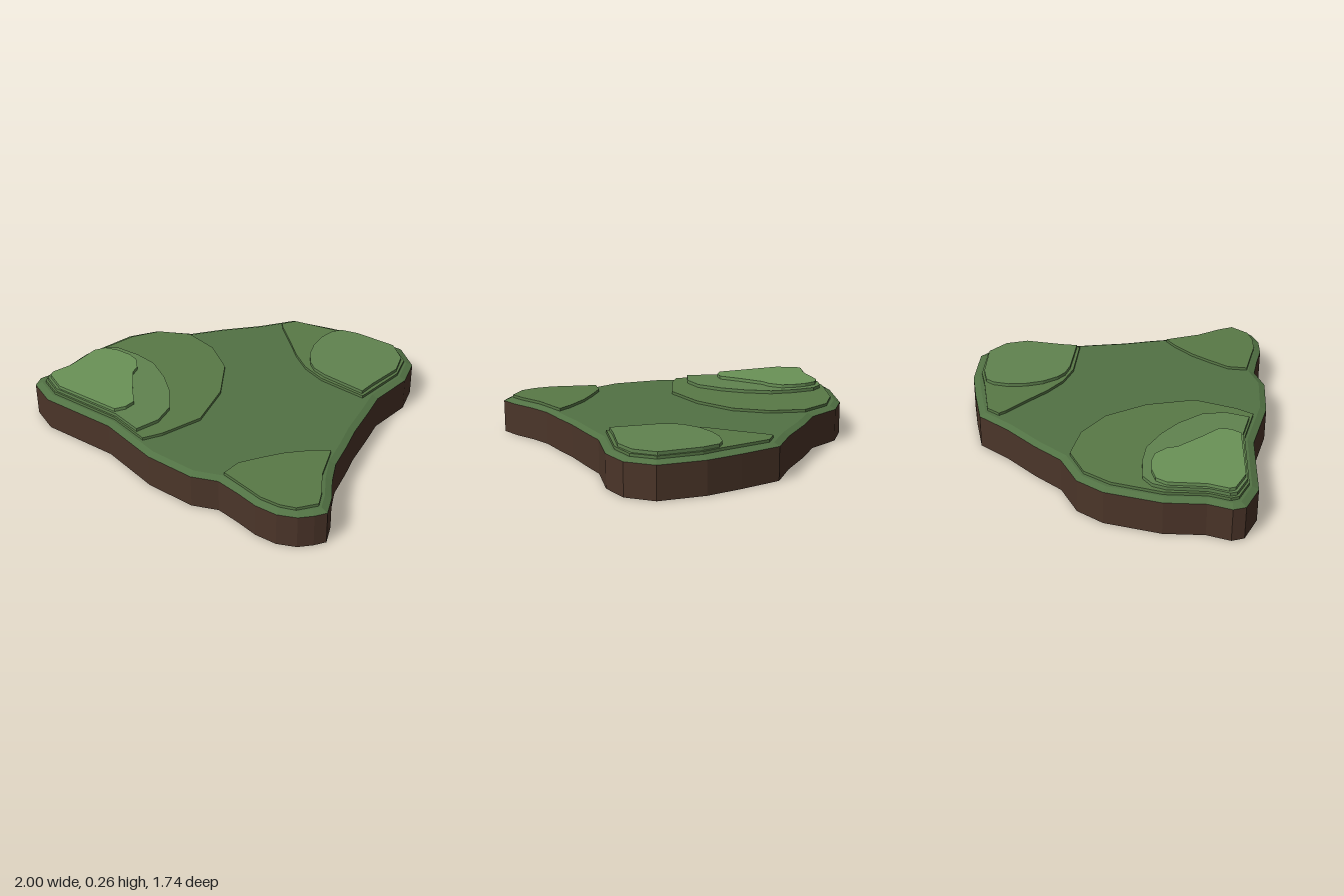
import * as THREE from 'three';

// All outlines are [x, z] pairs, clockwise seen from above.
const coast = [
  [0.4, -0.87], [0.55, -0.77], [0.61, -0.61], [0.6, -0.355], [0.64, -0.215], [0.69, -0.02], [0.74, 0.12],
  [0.79, 0.28], [0.86, 0.4], [0.945, 0.515], [1, 0.62], [0.965, 0.68], [0.91, 0.745], [0.815, 0.795],
  [0.69, 0.81], [0.565, 0.795], [0.42, 0.785], [0.285, 0.85], [0, 0.87], [-0.36, 0.815], [-0.805, 0.86],
  [-0.97, 0.805], [-1, 0.74], [-0.97, 0.61], [-0.99, 0.39], [-0.94, 0.08], [-0.855, -0.07], [-0.675, -0.185],
  [-0.565, -0.345], [-0.415, -0.53], [-0.3, -0.71], [-0.07, -0.79], [0.13, -0.85],
];
const westLow = [
  [-0.645, -0.14], [-0.435, -0.115], [-0.245, -0.01], [-0.09, 0.2], [0, 0.465], [-0.06, 0.7], [-0.11, 0.8],
  [-0.36, 0.765], [-0.795, 0.81], [-0.925, 0.765], [-0.945, 0.725], [-0.92, 0.61], [-0.94, 0.39],
  [-0.89, 0.11], [-0.81, -0.04],
];
const westMid = [
  [-0.7, 0.25], [-0.565, 0.255], [-0.415, 0.32], [-0.295, 0.4], [-0.18, 0.52], [-0.145, 0.645], [-0.175, 0.78],
  [-0.36, 0.755], [-0.79, 0.8], [-0.915, 0.755], [-0.93, 0.72], [-0.905, 0.61], [-0.92, 0.4],
  [-0.9, 0.325], [-0.84, 0.27],
];
const westTop = [
  [-0.715, 0.3], [-0.65, 0.31], [-0.585, 0.365], [-0.565, 0.42], [-0.445, 0.54], [-0.35, 0.625], [-0.35, 0.69],
  [-0.38, 0.745], [-0.775, 0.79], [-0.9, 0.745], [-0.915, 0.715], [-0.89, 0.6], [-0.905, 0.4],
  [-0.875, 0.34], [-0.8, 0.31],
];
const northLow = [
  [-0.3, -0.6], [-0.255, -0.675], [0.03, -0.76], [0.14, -0.8], [0.385, -0.82], [0.51, -0.74], [0.56, -0.6],
  [0.545, -0.285], [0.26, -0.275], [0.115, -0.31], [-0.01, -0.38], [-0.13, -0.47], [-0.27, -0.57],
];
const northTop = [
  [0.04, -0.75], [0.14, -0.785], [0.38, -0.81], [0.495, -0.73], [0.545, -0.61], [0.53, -0.4], [0.53, -0.3],
  [0.265, -0.295], [0.18, -0.31], [0.125, -0.345], [0.06, -0.42], [0.02, -0.51], [0, -0.61], [0.01, -0.7],
];
const eastLow = [
  [0.72, 0.23], [0.745, 0.28], [0.81, 0.42], [0.9, 0.54], [0.945, 0.62], [0.88, 0.72], [0.8, 0.755],
  [0.69, 0.77], [0.56, 0.755], [0.42, 0.74], [0.42, 0.63], [0.48, 0.52], [0.55, 0.405], [0.65, 0.29],
];

// Ground heights: wall top, meadow and three terrace steps
const WALL = 0.19, MEADOW = 0.206, STEP = [0.222, 0.241, 0.26];

const paint = (color) => new THREE.MeshStandardMaterial({ color, side: THREE.DoubleSide, flatShading: true });

// Shift every corner inward by d, mitred
function inset(loop, d) {
  const n = loop.length;
  return loop.map((p, i) => {
    const a = new THREE.Vector2(...loop[(i + n - 1) % n]);
    const b = new THREE.Vector2(...p);
    const c = new THREE.Vector2(...loop[(i + 1) % n]);
    const e = b.clone().sub(a).normalize(), f = c.sub(b).normalize();
    const m = new THREE.Vector2(-e.y - f.y, e.x + f.x).normalize();
    const k = d / (m.x * -e.y + m.y * e.x);
    return [p[0] + m.x * k, p[1] + m.y * k];
  });
}

// Ribbon of quads from a lower loop to an upper loop
function band(low, y0, high, y1) {
  const pos = [];
  low.forEach((_, i) => {
    const j = (i + 1) % low.length;
    const a = [low[i][0], y0, low[i][1]], b = [low[j][0], y0, low[j][1]];
    const c = [high[j][0], y1, high[j][1]], d = [high[i][0], y1, high[i][1]];
    pos.push(...a, ...d, ...b, ...b, ...d, ...c);
  });
  const g = new THREE.BufferGeometry();
  g.setAttribute('position', new THREE.Float32BufferAttribute(pos, 3));
  g.computeVertexNormals();
  return g;
}

// Flat ground at height y, open below the terraces that rise from it
function plateau(loop, y, holes = []) {
  const points = (l) => l.map(([x, z]) => new THREE.Vector2(x, -z));
  const shape = new THREE.Shape(points(loop));
  shape.holes = holes.map((h) => new THREE.Path(points(h)));
  return new THREE.ShapeGeometry(shape).rotateX(-Math.PI / 2).translate(0, y, 0);
}

export function createModel() {
  const model = new THREE.Group();
  model.name = 'terracedIsland';
  const add = (parent, name, geometry, material) => {
    const mesh = new THREE.Mesh(geometry, material);
    mesh.name = name;
    parent.add(mesh);
  };

  // Earth cliff, open underneath
  add(model, 'earthWall', band(coast, 0, coast, WALL), paint(0x4b3529));

  // Bevelled grass rim and meadow
  const grass = paint(0x527244);
  const meadow = inset(coast, 0.035);
  add(model, 'grassRim', band(coast, WALL, meadow, MEADOW), grass);
  add(model, 'meadow', plateau(meadow, MEADOW, [westLow, northLow, eastLow]), grass);

  // Hills as stacks of hollow terraces, lighter with height
  const greens = [paint(0x597947), paint(0x60834f), paint(0x6a9257)];
  const hills = { westHill: [westLow, westMid, westTop], northHill: [northLow, northTop], eastHill: [eastLow] };
  for (const [name, levels] of Object.entries(hills)) {
    const hill = new THREE.Group();
    hill.name = name;
    levels.forEach((loop, i) => {
      const base = i ? STEP[i - 1] : MEADOW;
      add(hill, `terraceStep${i + 1}`, band(loop, base, loop, STEP[i]), greens[i]);
      add(hill, `terraceTop${i + 1}`, plateau(loop, STEP[i], levels.slice(i + 1, i + 2)), greens[i]);
    });
    model.add(hill);
  }
  return model;
}
